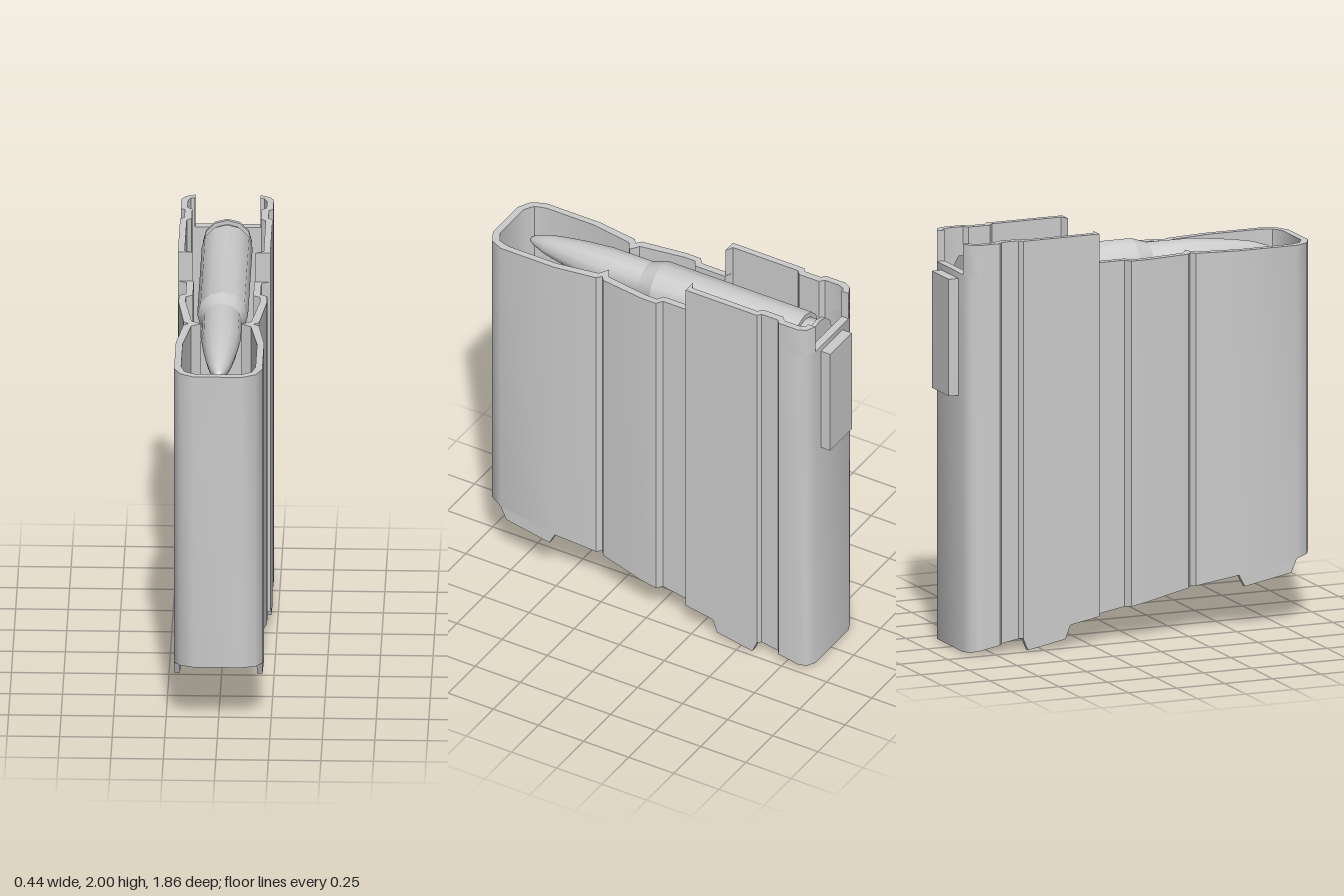
import * as THREE from 'three';
import { toCreasedNormals } from 'three/addons/utils/BufferGeometryUtils.js';

const material = new THREE.MeshStandardMaterial({ color: 0xcccccc });
const CREASE = 0.7;
const RIM = 1.85;   // top of the main shell
const TOP = 2;      // top of the raised feed walls

// Half outlines [x, z] from the front to the back
const OUTER_FRONT = [
  [0.115, 0.93], [0.18, 0.895], [0.21, 0.83], [0.21, 0.53], [0.18, 0.32], [0.155, 0.3],
  [0.18, 0.28], [0.21, 0.05], [0.21, -0.03], [0.178, -0.05], [0.178, -0.18],
];
const OUTER_BACK = [
  [0.22, -0.2], [0.22, -0.595], [0.2, -0.61], [0.2, -0.7], [0.22, -0.715],
  [0.22, -0.825], [0.2, -0.86], [0.155, -0.88],
];
const INNER_FRONT = [
  [0.11, 0.895], [0.16, 0.865], [0.177, 0.805], [0.177, 0.54], [0.142, 0.33], [0.096, 0.3],
  [0.142, 0.27], [0.177, 0.04], [0.177, -0.015], [0.144, -0.035], [0.144, -0.2],
];
const INNER_BACK = [
  [0.188, -0.22], [0.188, -0.58], [0.165, -0.6], [0.165, -0.71], [0.188, -0.73],
  [0.188, -0.81], [0.175, -0.84],
];

const floorY = (z) => 0.1704 + 0.1823 * z;

const toPoints = (list, s = 1) => list.map(([x, z]) => new THREE.Vector2(s * x, -z));
const mirrored = (half) => [...toPoints(half), ...toPoints(half, -1).reverse()];

function addMesh(parent, name, geometry) {
  const mesh = new THREE.Mesh(toCreasedNormals(geometry, CREASE), material);
  mesh.name = name;
  parent.add(mesh);
  return mesh;
}

// Upright extrusion of a plan shape
function upright(shape, depth) {
  return new THREE.ExtrudeGeometry(shape, { depth, bevelEnabled: false }).rotateX(-Math.PI / 2);
}

// Moves the lower end (and optionally the upper end) onto the sloping floor
function slope(geometry, thickness) {
  const p = geometry.attributes.position;
  for (let i = 0; i < p.count; i++) {
    const low = p.getY(i) < 1e-4;
    if (low) p.setY(i, floorY(p.getZ(i)));
    else if (thickness) p.setY(i, floorY(p.getZ(i)) + thickness);
  }
  return geometry;
}

function addTab(parent, name, profile, outerX) {
  const thickness = 0.027;
  for (const s of [1, -1]) {
    const shape = new THREE.Shape(profile.map(([z, y]) => new THREE.Vector2(z, y)));
    const g = new THREE.ExtrudeGeometry(shape, { depth: thickness, bevelEnabled: false });
    g.rotateY(-Math.PI / 2).translate(s > 0 ? outerX : -outerX + thickness, 0, 0);
    addMesh(parent, (s > 0 ? 'left' : 'right') + name, g);
  }
}

export function createModel() {
  const model = new THREE.Group();
  model.name = 'magazine';

  // Hollow shell with ribbed sides and a sloping lower edge
  const innerPlan = mirrored([...INNER_FRONT, ...INNER_BACK]);
  const shell = new THREE.Shape(mirrored([...OUTER_FRONT, ...OUTER_BACK]));
  shell.holes.push(new THREE.Path(innerPlan));
  addMesh(model, 'shell', slope(upright(shell, RIM)));

  // Floor closing the shell
  addMesh(model, 'floor', slope(upright(new THREE.Shape(innerPlan), 1), 0.03));

  // Raised feed walls, open at the back between them
  const wall = [...OUTER_BACK, [0.155, -0.84], ...[...INNER_BACK].reverse(), [0.15, -0.2]];
  for (const s of [1, -1]) {
    const g = upright(new THREE.Shape(toPoints(wall, s)), TOP - RIM).translate(0, RIM, 0);
    addMesh(model, s > 0 ? 'leftFeedWall' : 'rightFeedWall', g);
  }

  // Catch plate on the back
  const plate = new THREE.BoxGeometry(0.2, 0.57, 0.06).translate(0, 1.535, -0.9);
  addMesh(model, 'catchPlate', plate);

  // Tabs under the side walls
  addTab(model, 'FrontTab', [[0.83, 0.322], [0.8, 0.255], [0.56, 0.21], [0.53, 0.267]], 0.21);
  addTab(model, 'BackTab', [[-0.35, 0.107], [-0.375, 0.04], [-0.57, 0.003], [-0.595, 0.062]], 0.22);

  // Cartridge lying along z, as turned sections [radius, z]
  const cartridge = new THREE.Group();
  cartridge.name = 'cartridge';
  cartridge.position.y = 1.79;
  model.add(cartridge);
  const sections = {
    case: [[0, -0.81], [0.117, -0.81], [0.117, -0.79], [0.097, -0.79], [0.097, -0.73],
      [0.121, -0.73], [0.121, 0.06]],
    shoulder: [[0.121, 0.06], [0.095, 0.14]],
    bullet: [[0.095, 0.14], [0.094, 0.36], [0.08, 0.5], [0.066, 0.6], [0.05, 0.69],
      [0.025, 0.765], [0.012, 0.785], [0, 0.79]],
  };
  for (const [name, profile] of Object.entries(sections)) {
    const points = profile.map(([r, z]) => new THREE.Vector2(r, z));
    addMesh(cartridge, name, new THREE.LatheGeometry(points, 12).rotateX(Math.PI / 2));
  }

  return model;
}
